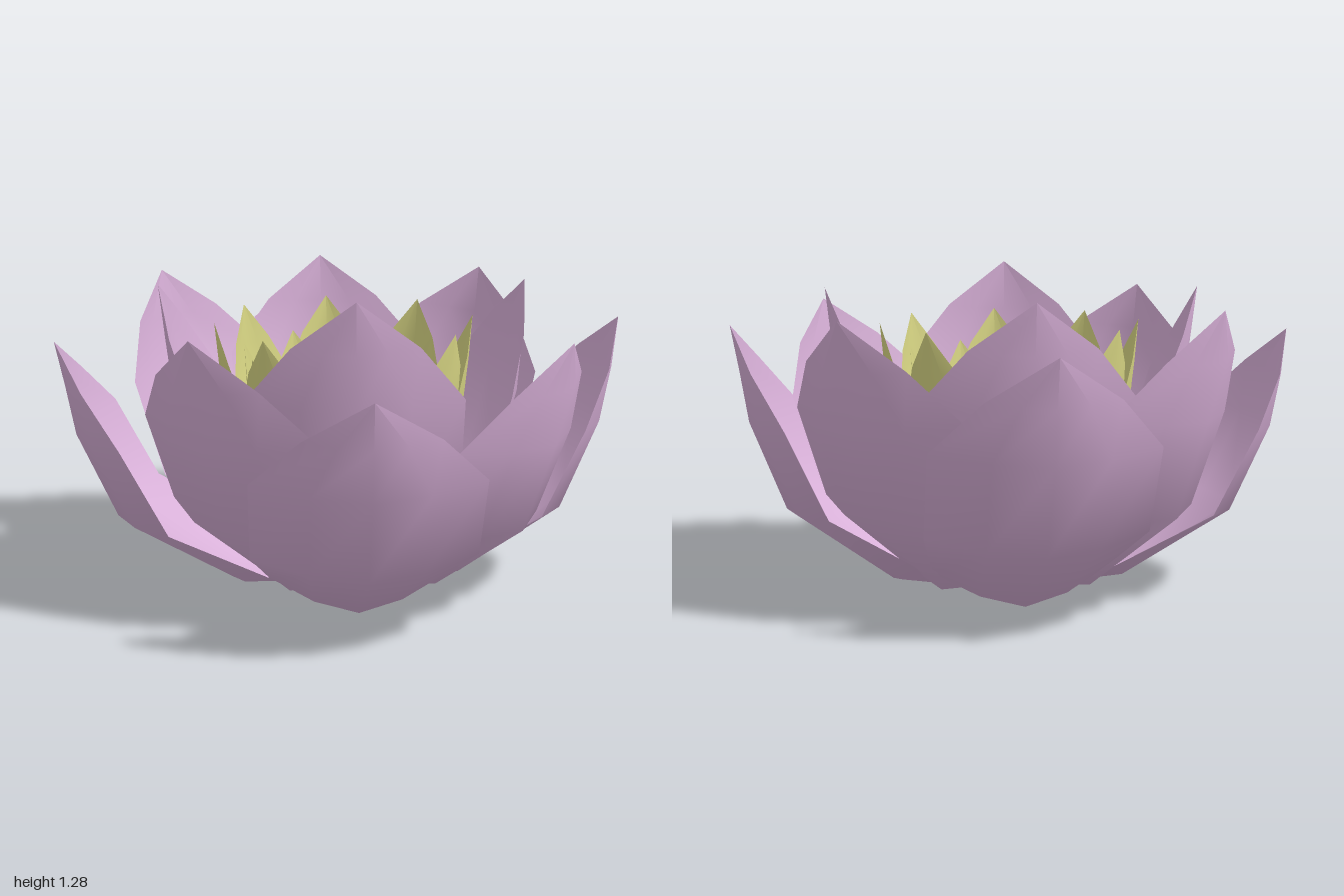
import * as THREE from 'three';

// Petal stations, as fractions of reach, height and half width:
// [reach, height, half width, edge inset, edge lift]
const STATIONS = [
  [0.16, 0.00, 0.00, 0.00, 0.00],
  [0.42, 0.035, 0.76, 0.24, 0.11],
  [0.81, 0.31, 0.93, 0.40, 0.04],
  [0.94, 0.64, 0.94, 0.36, 0.03],
  [0.97, 0.83, 0.54, 0.14, 0.02],
  [1.00, 1.00, 0.00, 0.00, 0.00],
];
const ACROSS = 4;

// One pointed petal leaning towards +z; cup sets how far its edges curl inwards
function petalGeometry(reach, base, tip, halfWidth, cup) {
  const positions = [], index = [];
  for (const [r, h, w, inset, lift] of STATIONS) {
    for (let i = 0; i <= ACROSS; i++) {
      const u = (i / ACROSS) * 2 - 1;
      const curl = Math.abs(u) ** 1.6;
      positions.push(
        u * w * halfWidth,
        base + (h + lift * curl) * (tip - base),
        r * reach - inset * halfWidth * cup * curl
      );
    }
  }
  const row = ACROSS + 1, last = STATIONS.length - 2;
  for (let j = 0; j <= last; j++) {
    for (let i = 0; i < ACROSS; i++) {
      const a = j * row + i, b = a + 1, c = a + row, d = c + 1;
      // the first and last rows are single points
      if (j > 0) index.push(a, b, d);
      if (j < last) index.push(a, d, c);
    }
  }
  const g = new THREE.BufferGeometry();
  g.setAttribute('position', new THREE.Float32BufferAttribute(positions, 3));
  g.setIndex(index);
  g.computeVertexNormals();
  return g;
}

export function createModel() {
  const model = new THREE.Group();
  model.name = 'lotusFlower';
  const pink = new THREE.MeshStandardMaterial({ color: 0xd8b0d8, side: THREE.DoubleSide });
  const yellow = new THREE.MeshStandardMaterial({ color: 0xd8d684, side: THREE.DoubleSide });

  // Adds a ring; each petal is [angle in degrees from +z, reach, tip height]
  function addRing(parent, name, petals, base, halfWidth, cup, material) {
    const ring = new THREE.Group();
    ring.name = name;
    for (const [angle, reach, tip] of petals) {
      const petal = new THREE.Mesh(petalGeometry(reach, base, tip, halfWidth, cup), material);
      petal.name = name + 'Petal';
      petal.rotation.y = THREE.MathUtils.degToRad(angle);
      ring.add(petal);
    }
    parent.add(ring);
  }

  // Large pink petals, from the outside in
  addRing(model, 'outerRing', [[42, 1.09, 1.08], [137, 1.10, 1.08], [225, 1.16, 1.04], [-50, 1.15, 1.04]], 0, 0.45, 1, pink);
  addRing(model, 'middleRing', [[0, 1.0, 1.12], [90, 0.975, 1.17], [180, 1.0, 1.19], [270, 0.965, 1.17]], 0.03, 0.45, 1, pink);
  addRing(model, 'innerRing', [[46.5, 0.715, 1.23], [136, 0.75, 1.23], [215, 0.76, 1.23], [-52, 0.64, 1.28]], 0.07, 0.44, 0.75, pink);

  // Small base that closes the middle
  const receptacle = new THREE.Mesh(new THREE.CylinderGeometry(0.14, 0.1, 0.04, 12), pink);
  receptacle.name = 'receptacle';
  receptacle.position.y = 0.1;
  model.add(receptacle);

  // Yellow heart: staggered rings that shrink towards the middle
  const heart = new THREE.Group();
  heart.name = 'heart';
  heart.position.z = -0.025;
  model.add(heart);
  const heartRings = [
    [0.52, 1.09, 0.20],
    [0.42, 0.97, 0.16],
    [0.31, 0.88, 0.12],
    [0.20, 0.80, 0.08],
    [0.11, 0.73, 0.045],
    [0.045, 0.68, 0.02],
  ];
  heartRings.forEach(([reach, tip, halfWidth], k) => {
    const petals = Array.from({ length: 8 }, (_, i) => [i * 45 + (k % 2) * 22.5, reach, tip]);
    addRing(heart, 'heartRing' + (k + 1), petals, 0.12 + k * 0.04, halfWidth, 1, yellow);
  });

  return model;
}
